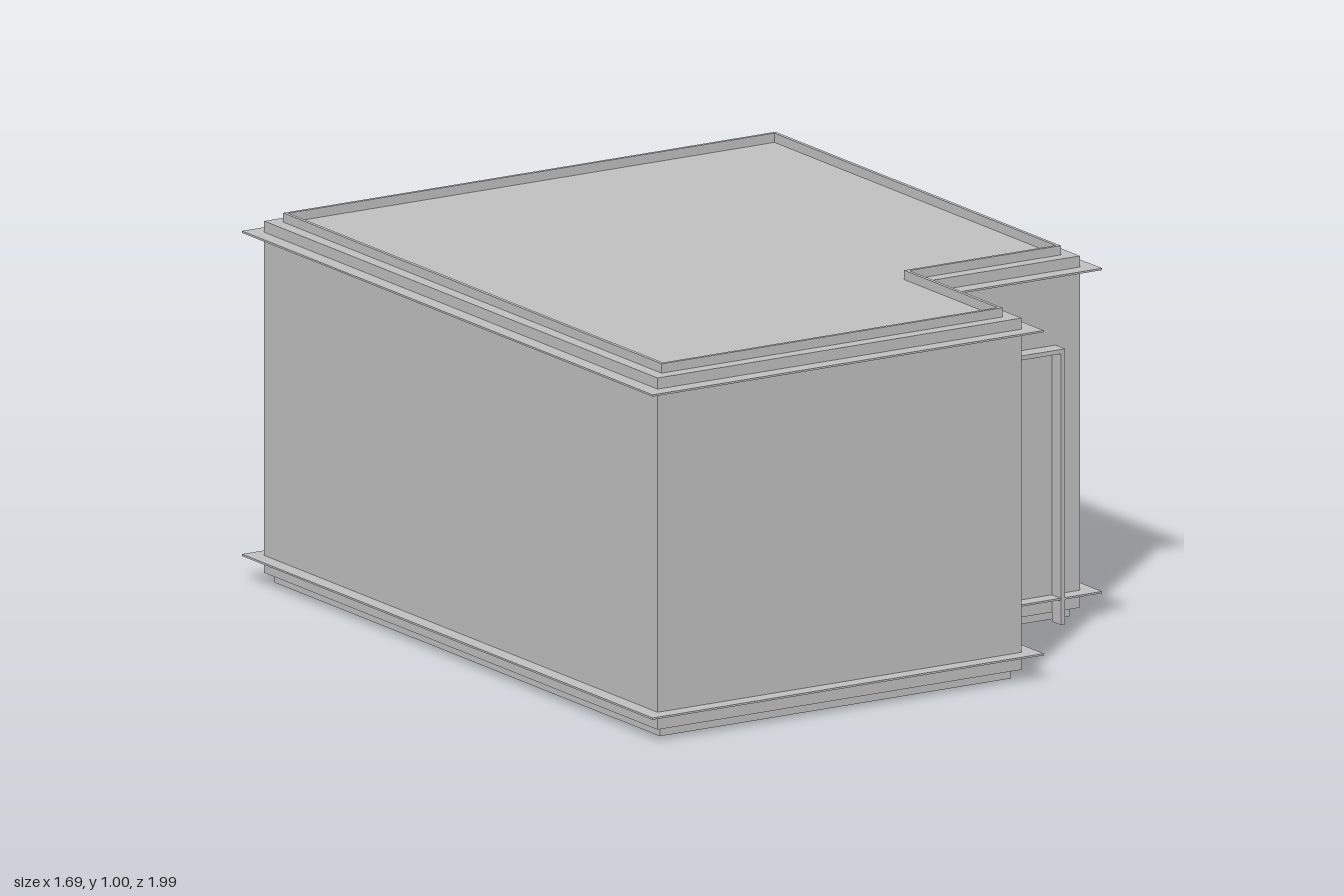
import * as THREE from 'three';

const grey = new THREE.MeshStandardMaterial({ color: 0xc0c0c0 });
grey.name = 'plaster grey';

// L-shaped outline in x and z, grown or shrunk by an offset
function outline(offset, PathType = THREE.Shape) {
  const right = 0.8 + offset, front = 0.95 + offset;
  const notchX = 0.33 + offset, notchZ = 0.5 + offset;
  return new PathType([
    [-right, -front], [right, -front], [right, notchZ],
    [notchX, notchZ], [notchX, front], [-right, front],
  ].map(([x, z]) => new THREE.Vector2(x, z)));
}

// Horizontal slab between two heights, optionally hollowed to a ring
function slab(name, bottom, top, offset, inner) {
  const shape = outline(offset);
  if (inner !== undefined) shape.holes.push(outline(inner, THREE.Path));
  const geometry = new THREE.ExtrudeGeometry(shape, { depth: top - bottom, bevelEnabled: false });
  geometry.rotateX(Math.PI / 2).translate(0, top, 0);
  const mesh = new THREE.Mesh(geometry, grey);
  mesh.name = name;
  return mesh;
}

function box(name, w, h, d, x, y, z) {
  const mesh = new THREE.Mesh(new THREE.BoxGeometry(w, h, d), grey);
  mesh.position.set(x, y, z);
  mesh.name = name;
  return mesh;
}

// Thin rectangular frame standing out from z = 0
function frame(name, width, bottom, top, depth, openBottom = false) {
  const group = new THREE.Group();
  group.name = name;
  const t = 0.012, h = top - bottom;
  for (const side of [-1, 1]) {
    group.add(box('jamb', t, h, depth, side * (width - t) / 2, bottom + h / 2, depth / 2));
  }
  group.add(box('head', width - 2 * t, t, depth, 0, top - t / 2, depth / 2));
  if (!openBottom) group.add(box('sill', width - 2 * t, t, depth, 0, bottom + t / 2, depth / 2));
  return group;
}

// Sash window: the upper sash stands slightly proud of the lower one
function sashWindow(name) {
  const group = new THREE.Group();
  group.name = name;
  group.add(frame('upperSash', 0.475, 0.535, 0.742, 0.044));
  group.add(frame('lowerSash', 0.455, 0.325, 0.535, 0.034));
  return group;
}

export function createModel() {
  const model = new THREE.Group();
  model.name = 'room';

  // Shell
  model.add(slab('floorSlab', 0, 0.025, -0.02));
  model.add(slab('walls', 0.025, 0.975, 0));
  model.add(slab('roofRim', 0.975, 1, -0.036, -0.046));

  // Thin projecting mouldings
  model.add(slab('skirting', 0.067, 0.072, 0.042, -0.01));
  model.add(slab('cornice', 0.94, 0.945, 0.042, -0.01));

  // Door in the recessed corner
  const door = frame('doorFrame', 0.325, 0, 0.745, 0.045, true);
  door.position.set(0.5625, 0, 0.5);
  model.add(door);

  // Windows on the right and back walls
  const sideWindow = sashWindow('sideWindow');
  sideWindow.position.set(0.8, 0, -0.225);
  sideWindow.rotation.y = Math.PI / 2;
  const backWindow = sashWindow('backWindow');
  backWindow.position.set(-0.045, 0, -0.95);
  backWindow.rotation.y = Math.PI;
  model.add(sideWindow, backWindow);

  // Narrow ledge low on the back wall
  model.add(box('backLedge', 0.67, 0.008, 0.008, -0.335, 0.245, -0.952));
  return model;
}
